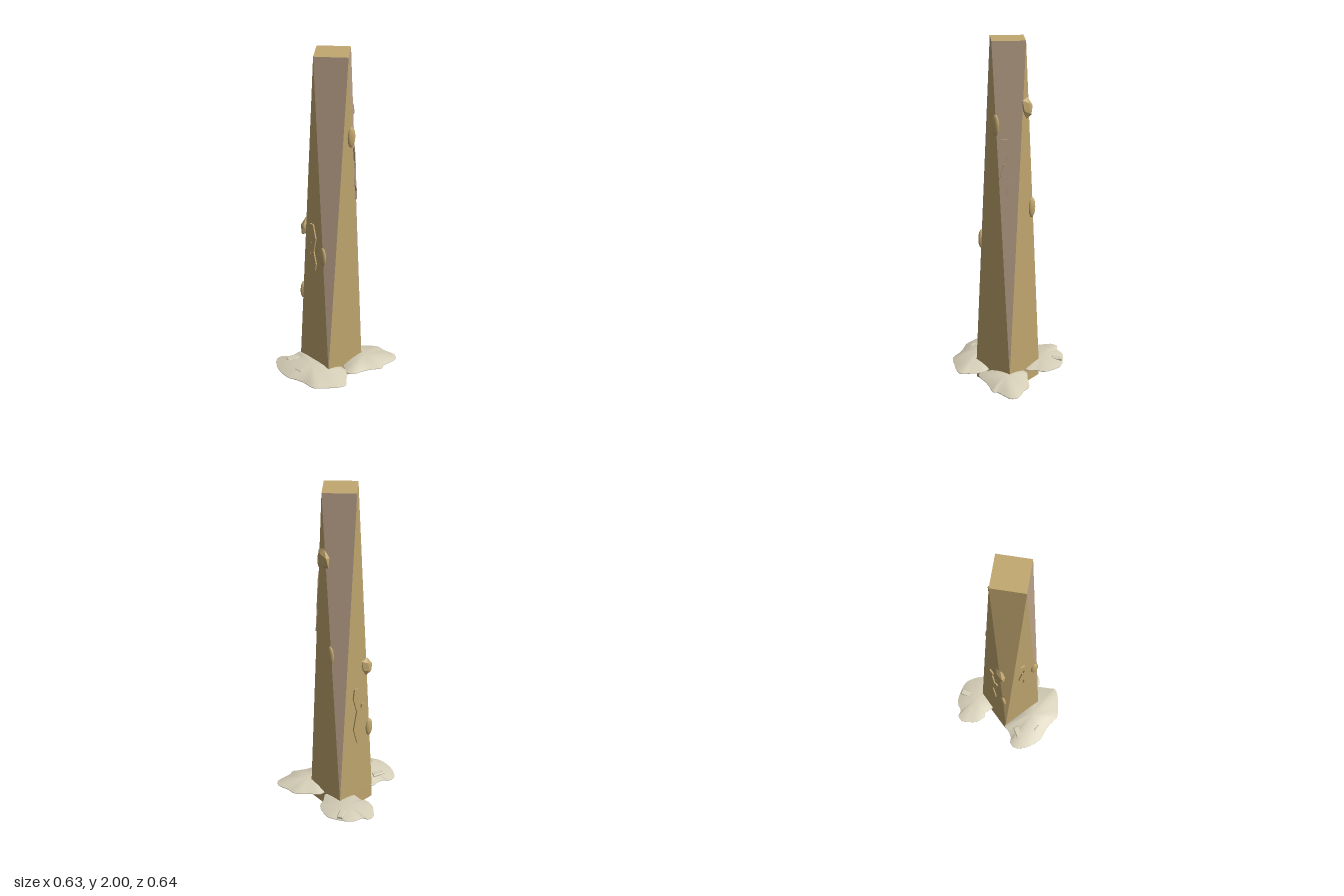
import * as THREE from 'three';

const CX = 0.02, CZ = 0.025, Y0 = 0.1, Y1 = 2; // post axis, height of the twist, top
const BASE = 0.13, TOP = 0.125;

export function createModel() {
  const model = new THREE.Group();
  const gold = new THREE.MeshStandardMaterial({ color: 0xc2a870, name: 'golden wood' });
  const mauve = new THREE.MeshStandardMaterial({ color: 0xbaa18a, name: 'bare wood' });
  const sand = new THREE.MeshStandardMaterial({ color: 0xd6cfb8, name: 'sand' });

  const add = (name, geometry, material, parent = model) => {
    const mesh = new THREE.Mesh(geometry, material);
    mesh.name = name;
    parent.add(mesh);
    return mesh;
  };
  const faces = (points) => {
    const g = new THREE.BufferGeometry().setFromPoints(points);
    g.computeVertexNormals();
    return g;
  };

  // Post: a square foot twisting into a diamond top
  const corner = (i, y) => {
    const a = Math.PI / 4 + i * Math.PI / 2;
    return new THREE.Vector3(CX + Math.sin(a) * BASE * Math.SQRT2, y, CZ + Math.cos(a) * BASE * Math.SQRT2);
  };
  const tip = (i) => {
    const a = i * Math.PI / 2;
    return new THREE.Vector3(CX + Math.sin(a) * TOP, Y1, CZ + Math.cos(a) * TOP);
  };
  const goldPoints = [], mauvePoints = [];
  for (let i = 0; i < 4; i++) {
    const a = corner(i - 1, 0), b = corner(i, 0), c = corner(i, Y0), d = corner(i - 1, Y0);
    goldPoints.push(a, b, c, a, c, d);      // foot side
    goldPoints.push(d, c, tip(i));          // rising triangle
    (i === 2 ? goldPoints : mauvePoints).push(c, tip(i + 1), tip(i)); // falling triangle
  }
  for (const i of [1, 2]) {
    goldPoints.push(tip(0), tip(i), tip(i + 1));
    goldPoints.push(corner(0, 0), corner(i + 1, 0), corner(i, 0));
  }
  add('post', faces(goldPoints), gold);
  add('postBareSides', faces(mauvePoints), mauve);

  // Set a detail on a side of the post: yaw of the side, offset along it, height
  const place = (object, yaw, u, y, onCorner = false) => {
    const t = (y - Y0) / (Y1 - Y0);
    const r = onCorner
      ? THREE.MathUtils.lerp(BASE * Math.SQRT2, TOP / Math.SQRT2, t)
      : THREE.MathUtils.lerp(BASE, TOP, t);
    object.position.set(
      CX + Math.sin(yaw) * r + Math.cos(yaw) * u, y,
      CZ + Math.cos(yaw) * r - Math.sin(yaw) * u);
    object.rotation.order = 'YXZ';
    object.rotation.y = yaw;
    object.rotation.x = onCorner ? -0.05 : 0;
  };

  // Raised branching cracks
  const strip = (path, w) => new THREE.Shape([
    ...path.map(([x, y]) => new THREE.Vector2(x - w, y)),
    ...path.map(([x, y]) => new THREE.Vector2(x + w, y)).reverse(),
  ]);
  const crackGeometry = new THREE.ExtrudeGeometry([
    strip([[-0.012, 0.16], [0.012, 0.07], [-0.008, -0.03], [0.014, -0.11], [0.006, -0.16]], 0.014),
    strip([[-0.008, 0.03], [-0.024, -0.015], [-0.034, -0.06]], 0.008),
  ], { depth: 0.012, bevelEnabled: false });
  crackGeometry.translate(0, 0, -0.004);
  const cracks = [
    [Math.PI / 4, -0.01, 1.33, true, 1, 0, mauve],
    [Math.PI, 0.005, 0.66, false, 1.2, Math.PI, gold],
    [-Math.PI / 2, 0, 0.9, false, 0.9, 0, gold],
  ];
  for (const [yaw, u, y, onCorner, size, spin, material] of cracks) {
    const crack = add('crack', crackGeometry, material);
    place(crack, yaw, u, y, onCorner);
    crack.rotation.z = spin;
    crack.scale.set(size, size, 1);
  }

  // Smooth oval knots
  const knotGeometry = new THREE.SphereGeometry(1, 20, 14);
  for (const [yaw, u, y] of [
    [0, 0.025, 1.565], [Math.PI / 2, 0.055, 1.085],
    [Math.PI, 0.1, 0.54], [-Math.PI / 2, 0.075, 0.87],
  ]) {
    const knot = add('knot', knotGeometry, gold);
    place(knot, yaw, u, y);
    knot.scale.set(0.025, 0.058, 0.014);
  }

  // Faceted burls
  const burlGeometry = new THREE.IcosahedronGeometry(1, 0);
  for (const [yaw, u, y] of [[Math.PI / 2, 0.01, 1.65], [Math.PI, 0.077, 0.965]]) {
    const burl = add('burl', burlGeometry, gold);
    place(burl, yaw, u, y);
    burl.scale.set(0.04, 0.062, 0.022);
    burl.rotation.z = 0.3;
  }

  // Sand drifts: thin domes raised from an outline, with a flat underside
  const drift = (outline, cx, cz, rise) => {
    const curve = new THREE.CatmullRomCurve3(
      outline.map(([x, z]) => new THREE.Vector3(x, 0, z)), true, 'centripetal');
    const n = 64, rings = 8, position = [], index = [];
    const rim = curve.getPoints(n).slice(0, n);
    for (let k = 0; k <= rings; k++) {
      const s = 1 - k / rings;
      for (const p of rim) {
        position.push(cx + (p.x - cx) * s, 0.088 + rise * (1 - s * s), cz + (p.z - cz) * s);
      }
    }
    for (let k = 0; k < rings; k++) {
      for (let i = 0; i < n; i++) {
        const a = k * n + i, b = k * n + (i + 1) % n;
        index.push(a, a + n, b, b, a + n, b + n);
      }
    }
    const top = new THREE.BufferGeometry();
    top.setAttribute('position', new THREE.Float32BufferAttribute(position, 3));
    top.setIndex(index);
    top.computeVertexNormals();
    add('sandDrift', top, sand);
    const under = new THREE.ShapeGeometry(new THREE.Shape(rim.map((p) => new THREE.Vector2(p.x, p.z))));
    under.rotateX(Math.PI / 2);
    under.translate(0, 0.084, 0);
    add('sandUnderside', under, sand);
    // thin edge joining dome and underside
    const edge = [];
    rim.forEach((p, i) => {
      const q = rim[(i + 1) % n];
      const v = (o, y) => new THREE.Vector3(o.x, y, o.z);
      edge.push(v(p, 0.084), v(p, 0.088), v(q, 0.088), v(p, 0.084), v(q, 0.088), v(q, 0.084));
    });
    add('sandEdge', faces(edge), sand);
  };
  // outlines run clockwise seen from above
  drift([[0.02, -0.245], [0.05, -0.29], [0.08, -0.32], [0.12, -0.32], [0.14, -0.29], [0.2, -0.27],
    [0.25, -0.21], [0.28, -0.15], [0.28, -0.12], [0.25, -0.04], [0.2, -0.015], [0.16, 0.015],
    [0.12, -0.01], [0.04, -0.09], [0.033, -0.17], [0.02, -0.18]], 0.14, -0.16, 0.02);
  drift([[-0.26, -0.15], [-0.22, -0.15], [-0.2, -0.13], [-0.16, -0.115], [-0.11, -0.115], [-0.08, -0.02],
    [-0.03, 0.1], [-0.01, 0.17], [-0.02, 0.215], [-0.07, 0.27], [-0.1, 0.3], [-0.14, 0.29], [-0.2, 0.25],
    [-0.26, 0.2], [-0.275, 0.12], [-0.3, 0.06], [-0.315, 0.03], [-0.315, -0.05], [-0.295, -0.11]],
  -0.16, 0.07, 0.038);
  drift([[0.13, 0.04], [0.18, 0.04], [0.23, 0.09], [0.29, 0.15], [0.295, 0.2], [0.313, 0.26], [0.313, 0.28],
    [0.29, 0.308], [0.19, 0.308], [0.17, 0.32], [0.13, 0.3], [0.08, 0.275], [0, 0.25], [-0.02, 0.22],
    [0, 0.17], [0.05, 0.1]], 0.14, 0.18, 0.028);

  // Chips half buried in the sand
  for (const [x, z, w, d, turn, y] of [
    [0.218, -0.192, 0.06, 0.035, 0.55, 0.096],
    [-0.197, -0.072, 0.075, 0.036, -0.3, 0.104],
    [-0.245, 0.042, 0.012, 0.045, 0.25, 0.108],
  ]) {
    const outline = new THREE.Shape([[-1, -1], [1, -1], [1, 1], [-1, 1]]
      .map(([a, b]) => new THREE.Vector2(a * (w / 2 - 0.004), b * (d / 2 - 0.004))));
    const g = new THREE.ExtrudeGeometry(outline, {
      depth: 0.012, bevelSize: 0.004, bevelThickness: 0.004, bevelSegments: 1,
    });
    g.translate(0, 0, -0.006);
    g.rotateX(-Math.PI / 2);
    const chip = add('chip', g, sand);
    chip.position.set(x, y, z);
    chip.rotation.y = turn;
  }
  return model;
}
